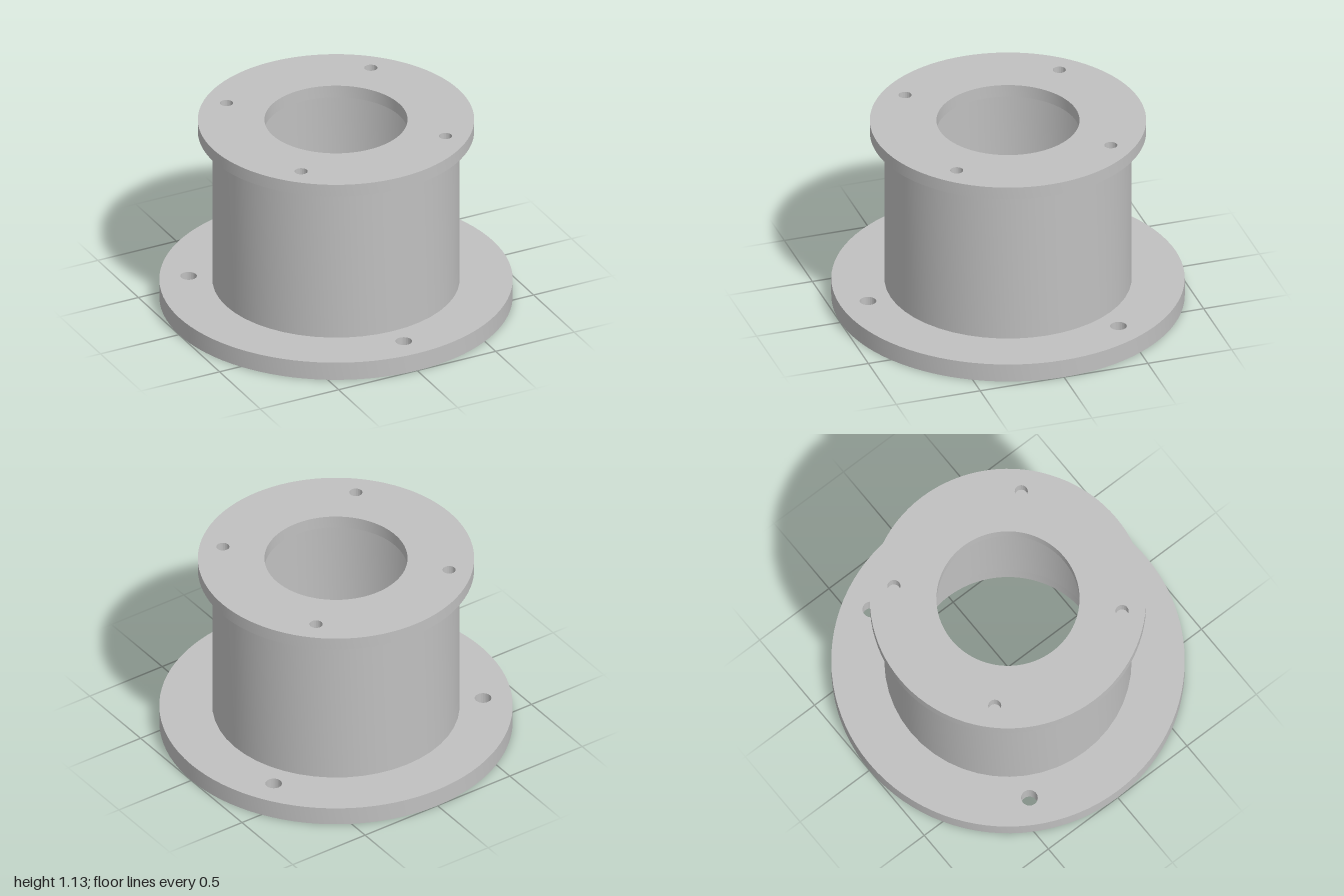
import * as THREE from 'three';
import { toCreasedNormals } from 'three/addons/utils/BufferGeometryUtils.js';

const SEGMENTS = 48;
const CREASE = Math.PI / 6;

// Circle as a path; z is measured in model space
function circle(path, x, z, radius) {
  path.absarc(x, -z, radius, 0, Math.PI * 2, false);
  return path;
}

// Flat ring with a bore and bolt holes, lying from y to y + thickness
function flange(name, material, { radius, bore, y, thickness, holes, holeRadius }) {
  const shape = circle(new THREE.Shape(), 0, 0, radius);
  shape.holes.push(circle(new THREE.Path(), 0, 0, bore));
  for (const [x, z] of holes) shape.holes.push(circle(new THREE.Path(), x, z, holeRadius));
  const geometry = new THREE.ExtrudeGeometry(shape, {
    depth: thickness, bevelEnabled: false, curveSegments: SEGMENTS,
  });
  geometry.rotateX(-Math.PI / 2);
  geometry.translate(0, y, 0);
  const mesh = new THREE.Mesh(toCreasedNormals(geometry, CREASE), material);
  mesh.name = name;
  return mesh;
}

// Points spaced evenly on a bolt circle
function boltCircle(count, radius, start) {
  return Array.from({ length: count }, (_, i) => {
    const a = start + (i / count) * Math.PI * 2;
    return [radius * Math.cos(a), radius * Math.sin(a)];
  });
}

export function createModel() {
  const group = new THREE.Group();
  group.name = 'flangedSpacer';
  const metal = new THREE.MeshStandardMaterial({ color: 0xc0c0c0 });
  metal.name = 'greyMetal';

  // Wide base flange with three through holes, one at the front
  group.add(flange('baseFlange', metal, {
    radius: 1, bore: 0.543, y: 0, thickness: 0.11,
    holes: boltCircle(3, 0.835, Math.PI / 2), holeRadius: 0.047,
  }));

  // Thick-walled tube; its top rim closes the upper bolt holes
  const profile = [[0.543, 0.11], [0.7, 0.11], [0.7, 1.06], [0.543, 1.06], [0.543, 0.11]]
    .map(([r, y]) => new THREE.Vector2(r, y));
  const tube = new THREE.Mesh(
    toCreasedNormals(new THREE.LatheGeometry(profile, SEGMENTS), CREASE), metal);
  tube.name = 'tubeBody';
  group.add(tube);

  // Smaller top flange with a narrower bore and four bolt holes
  group.add(flange('topFlange', metal, {
    radius: 0.782, bore: 0.405, y: 1.06, thickness: 0.075,
    holes: boltCircle(4, 0.65, Math.PI / 4), holeRadius: 0.037,
  }));

  return group;
}
